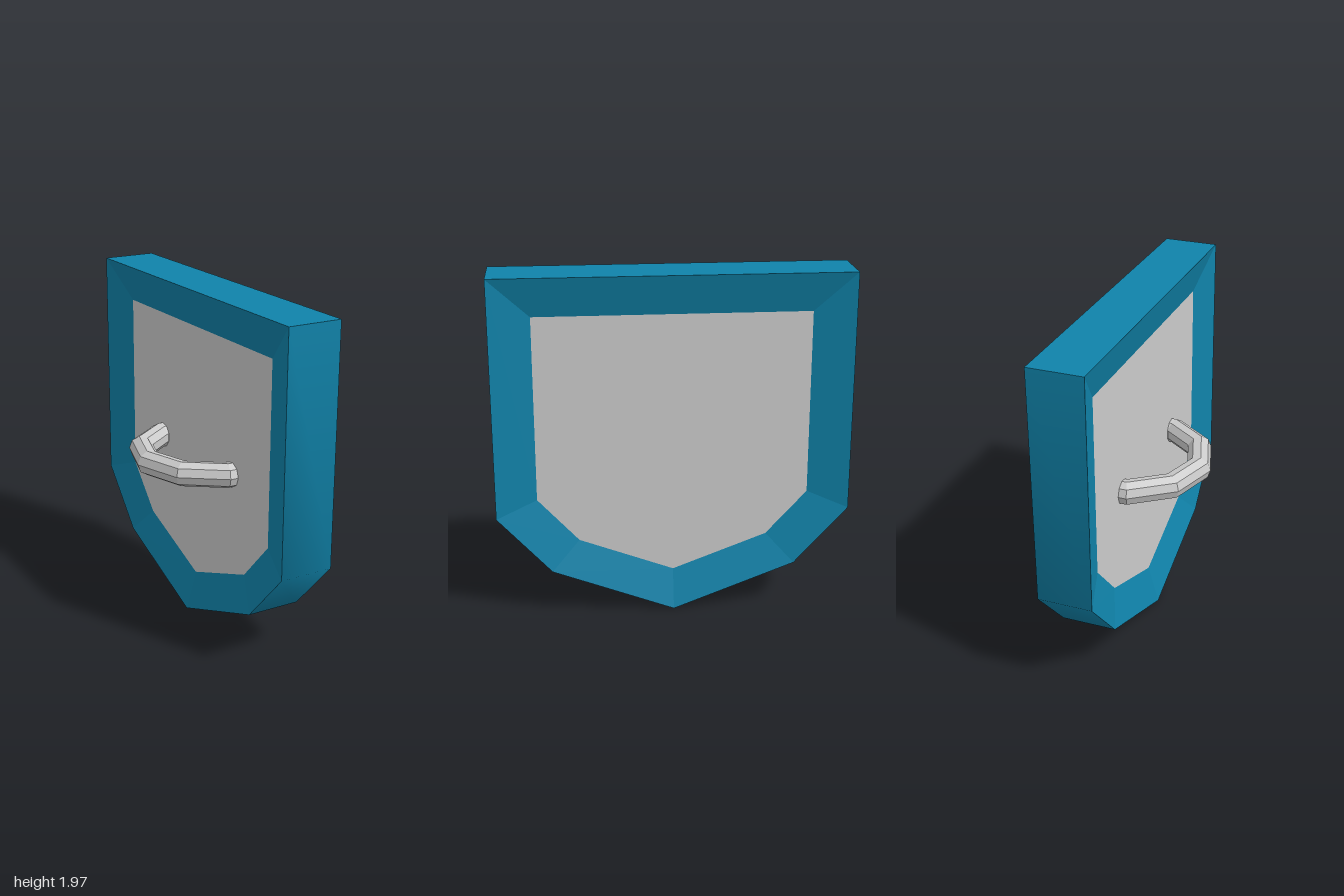
import * as THREE from 'three';
import { toCreasedNormals } from 'three/addons/utils/BufferGeometryUtils.js';

const BACK = 0, FRONT = 0.317;            // outer faces of the rim
const PANEL_BACK = 0.063, PANEL_FRONT = 0.254;

// Half outlines as [z, y], from the top corner down to the bottom tip
const outerHalf = [[1, 1.97], [1, 0.6], [0.695, 0.265], [0, 0]];
const innerHalf = [[0.77, 1.745], [0.77, 0.685], [0.537, 0.43], [0, 0.227]];

// Mirror a half outline into a closed loop
function mirrored(half) {
  return [...half, ...half.slice(0, -1).reverse().map(([z, y]) => [-z, y])];
}

// Place an outline in the plane at x
function loopAt(outline, x) {
  return outline.map(([z, y]) => [x, y, z]);
}

// Strip of quads joining two loops
function band(a, b) {
  const positions = [];
  for (let i = 0; i < a.length; i++) {
    const j = (i + 1) % a.length;
    positions.push(...a[i], ...a[j], ...b[j], ...a[i], ...b[j], ...b[i]);
  }
  const geometry = new THREE.BufferGeometry();
  geometry.setAttribute('position', new THREE.Float32BufferAttribute(positions, 3));
  geometry.computeVertexNormals();
  return geometry;
}

export function createModel() {
  const model = new THREE.Group();
  model.name = 'shield';
  const blue = new THREE.MeshStandardMaterial({ color: 0x1083aa });
  const grey = new THREE.MeshStandardMaterial({ color: 0xcccccc, flatShading: true });

  function add(name, geometry, material, parent = model) {
    const mesh = new THREE.Mesh(geometry, material);
    mesh.name = name;
    parent.add(mesh);
  }

  const outer = mirrored(outerHalf);
  const inner = mirrored(innerHalf);

  // Rim: outer wall with soft lower bends, and a sloped face on each side
  const rim = new THREE.Group();
  rim.name = 'rim';
  model.add(rim);
  const outerBack = loopAt(outer, BACK), outerFront = loopAt(outer, FRONT);
  add('rimWall', toCreasedNormals(band(outerBack, outerFront), Math.PI / 3), blue, rim);
  add('rimFrontBevel', band(outerFront, loopAt(inner, PANEL_FRONT)), blue, rim);
  add('rimBackBevel', band(loopAt(inner, PANEL_BACK), outerBack), blue, rim);

  // Panel filling the rim
  const shape = new THREE.Shape(inner.map(([z, y]) => new THREE.Vector2(z, y)));
  const panel = new THREE.ExtrudeGeometry(shape, { depth: PANEL_FRONT - PANEL_BACK, bevelEnabled: false });
  panel.rotateY(Math.PI / 2).translate(PANEL_BACK, 0, 0);
  add('panel', panel, grey);

  // Handle: part of a ten-sided ring, its straight ends cut off inside the panel
  const handle = new THREE.TorusGeometry(0.412, 0.073, 9, 6, Math.PI * 1.2);
  handle.rotateZ(Math.PI * 0.4).rotateX(Math.PI / 2);
  const p = handle.attributes.position;
  for (let i = 0; i < p.count; i++) p.setX(i, Math.min(p.getX(i), 0));
  handle.translate(0.165, 0.987, 0);
  add('handle', handle, grey);

  return model;
}
